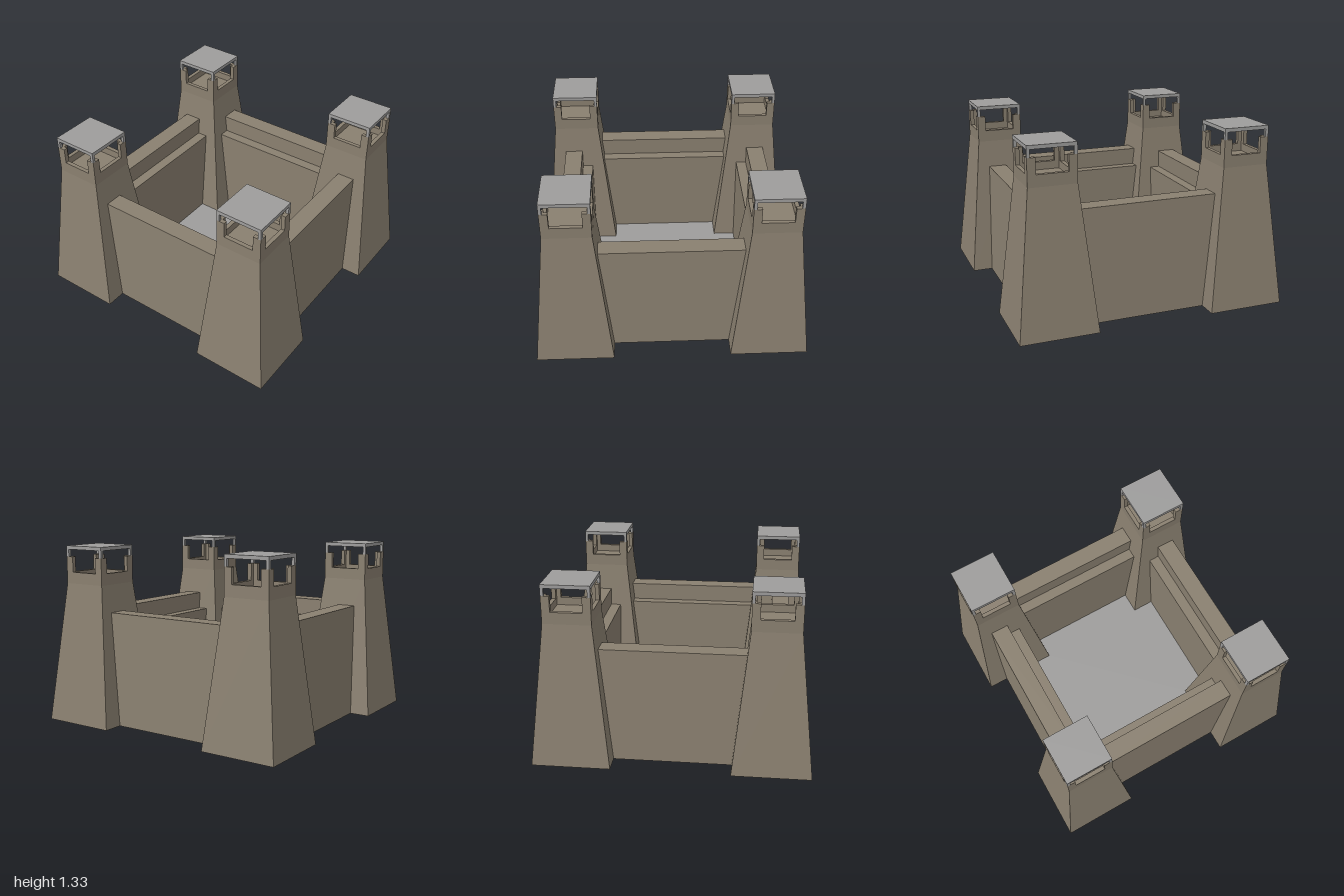
import * as THREE from 'three';

const stone = new THREE.MeshStandardMaterial({ color: 0x8a8070 });
stone.name = 'brown stone';
const slate = new THREE.MeshStandardMaterial({ color: 0x9e9d9c });
slate.name = 'grey slab';

const TOWER = 0.715;  // tower centre offset on x and z
const HALF = 0.173;   // half width of the tower head

function add(parent, name, geometry, material, x = 0, y = 0, z = 0) {
  const mesh = new THREE.Mesh(geometry, material);
  mesh.name = name;
  mesh.position.set(x, y, z);
  parent.add(mesh);
  return mesh;
}

function box(parent, name, w, h, d, material, x, y, z) {
  return add(parent, name, new THREE.BoxGeometry(w, h, d), material, x, y + h / 2, z);
}

// Four-sided tapering block standing on y = 0, with sharp edges
function taperedBlock(bottomHalf, topHalf, height) {
  const g = new THREE.CylinderGeometry(topHalf * Math.SQRT2, bottomHalf * Math.SQRT2, height, 4)
    .rotateY(Math.PI / 4).translate(0, height / 2, 0).toNonIndexed();
  g.computeVertexNormals();
  return g;
}

function polygon(points) {
  return new THREE.Shape(points.map(([x, y]) => new THREE.Vector2(x, y)));
}

// Corner tower: tapered shaft, notched parapet, roof on thin posts
function createTower() {
  const tower = new THREE.Group();
  tower.name = 'tower';
  add(tower, 'towerShaft', taperedBlock(0.285, HALF, 1.05), stone);
  box(tower, 'towerDeck', HALF * 2, 0.03, HALF * 2, stone, 0, 1.05, 0);

  // Low parapet ring
  const t = 0.03, i = HALF - t;
  const ring = polygon([[-HALF, -HALF], [HALF, -HALF], [HALF, HALF], [-HALF, HALF]]);
  ring.holes.push(polygon([[-i, -i], [-i, i], [i, i], [i, -i]]));
  const ringGeometry = new THREE.ExtrudeGeometry(ring, { depth: 0.055, bevelEnabled: false }).rotateX(-Math.PI / 2);
  add(tower, 'parapet', ringGeometry, stone, 0, 1.08, 0);

  // L-shaped merlons with a roof post at each outer corner
  const m = HALF - 0.06, p = 0.022;
  const merlon = polygon([[HALF, HALF], [m, HALF], [m, i], [i, i], [i, m], [HALF, m]]);
  const merlonGeometry = new THREE.ExtrudeGeometry(merlon, { depth: 0.115, bevelEnabled: false }).rotateX(-Math.PI / 2);
  for (let k = 0; k < 4; k++) {
    const corner = new THREE.Group();
    corner.name = 'towerCorner';
    corner.rotation.y = k * Math.PI / 2;
    add(corner, 'merlon', merlonGeometry, stone, 0, 1.135, 0);
    box(corner, 'roofPost', p, 0.055, p, slate, HALF - p / 2, 1.25, HALF - p / 2);
    tower.add(corner);
  }
  box(tower, 'towerRoof', HALF * 2, 0.027, HALF * 2, slate, 0, 1.305, 0);
  return tower;
}

export function createModel() {
  const fort = new THREE.Group();
  fort.name = 'fort';

  // Courtyard floor
  box(fort, 'courtyardFloor', 1.22, 0.01, 1.22, slate, 0, 0.003, 0);

  // Wall profile: sloped outer face, breastwork and inner walkway
  const profile = polygon([[0.6, 0], [0.85, 0], [0.815, 0.845], [0.68, 0.845], [0.68, 0.71], [0.6, 0.71]]);
  const wallGeometry = new THREE.ExtrudeGeometry(profile, { depth: 1.2, bevelEnabled: false }).translate(0, 0, -0.6);

  for (let k = 0; k < 4; k++) {
    add(fort, 'curtainWall', wallGeometry, stone).rotation.y = k * Math.PI / 2;
  }
  for (const sx of [-1, 1]) for (const sz of [-1, 1]) {
    const tower = createTower();
    tower.position.set(sx * TOWER, 0, sz * TOWER);
    fort.add(tower);
  }
  return fort;
}
